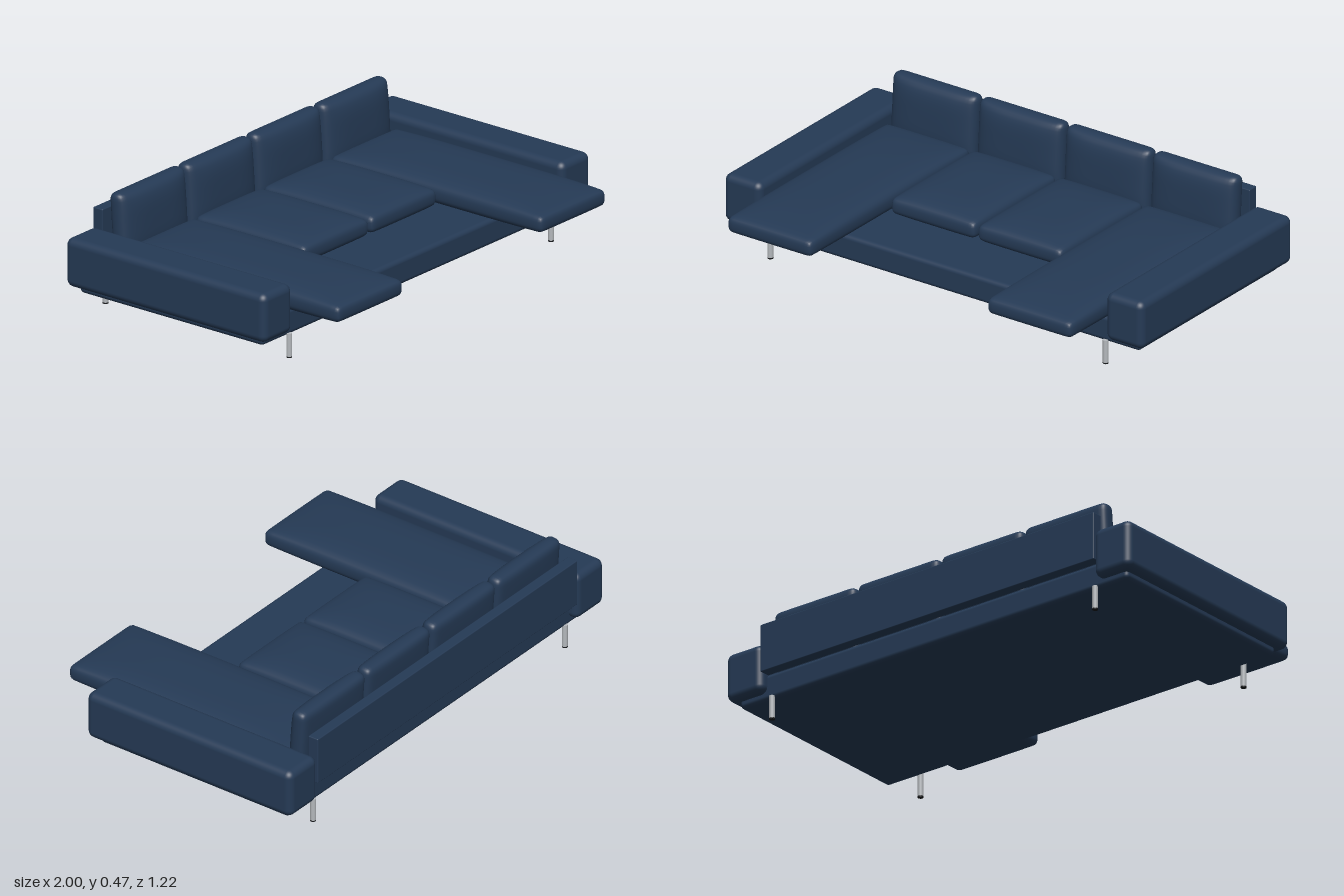
import * as THREE from 'three';
import { RoundedBoxGeometry } from 'three/addons/geometries/RoundedBoxGeometry.js';
import { mergeVertices } from 'three/addons/utils/BufferGeometryUtils.js';

const fabric = new THREE.MeshStandardMaterial({ name: 'navy fabric', color: 0x253a55 });
const steel = new THREE.MeshStandardMaterial({ name: 'brushed steel', color: 0xb4b8bc });
const rubber = new THREE.MeshStandardMaterial({ name: 'black rubber', color: 0x15171a });

// Rounded cushion lying flat, thin at its rim and swelling toward the middle
function cushionGeometry(w, h, d, r, puffTop, puffBottom) {
  let geo = new THREE.BoxGeometry(2, 2, 2, 20, 10, 20);
  geo.deleteAttribute('uv');
  geo.deleteAttribute('normal');
  geo = mergeVertices(geo);
  const pos = geo.attributes.position;
  const half = new THREE.Vector3(w / 2, h / 2, d / 2);
  const inner = half.clone().subScalar(r);
  const p = new THREE.Vector3();
  const core = new THREE.Vector3();
  // crowd the grid lines toward the edges
  const ease = (u) => Math.sign(u) * (1 - (1 - Math.abs(u)) ** 2);
  for (let i = 0; i < pos.count; i++) {
    p.fromBufferAttribute(pos, i);
    p.set(ease(p.x), ease(p.y), ease(p.z)).multiply(half);
    core.copy(p).clamp(inner.clone().negate(), inner);
    p.sub(core).setLength(r).add(core);
    const swell = (1 - (p.x / half.x) ** 4) * (1 - (p.z / half.z) ** 4);
    p.y += (p.y / half.y) * swell * (p.y > 0 ? puffTop : puffBottom);
    pos.setXYZ(i, p.x, p.y, p.z);
  }
  geo.computeVertexNormals();
  return geo;
}

export function createModel() {
  const sofa = new THREE.Group();
  sofa.name = 'sofa';

  const add = (name, geo, mat, x, y, z) => {
    const mesh = new THREE.Mesh(geo, mat);
    mesh.name = name;
    mesh.position.set(x, y, z);
    sofa.add(mesh);
    return mesh;
  };
  // Rounded box given by its limits on each axis
  const block = (name, [x0, x1], [y0, y1], [z0, z1], r) =>
    add(name, new RoundedBoxGeometry(x1 - x0, y1 - y0, z1 - z0, 4, r), fabric,
      (x0 + x1) / 2, (y0 + y1) / 2, (z0 + z1) / 2);

  // Platform and back panel
  block('base', [-0.96, 0.96], [0.09, 0.197], [-0.57, 0.345], 0.018);
  block('backPanel', [-0.825, 0.825], [0.195, 0.395], [-0.61, -0.563], 0.004);

  const seatGeo = cushionGeometry(0.404, 0.068, 0.55, 0.025, 0.024, 0.015);
  const chaiseGeo = cushionGeometry(0.404, 0.068, 1.055, 0.025, 0.024, 0.015);
  // Back pillows stand upright and lean back a little
  const pillowGeo = cushionGeometry(0.404, 0.275, 0.06, 0.028, 0, 0);
  pillowGeo.dispose();
  const uprightGeo = cushionGeometry(0.404, 0.064, 0.278, 0.028, 0.026, 0.006);
  uprightGeo.rotateX(Math.PI / 2 - 0.07);

  for (const s of [-1, 1]) {
    const side = s > 0 ? 'left' : 'right';

    // Armrest
    const armX = s > 0 ? [0.822, 1] : [-1, -0.822];
    block(side + 'Armrest', armX, [0.118, 0.32], [-0.61, 0.385], 0.03);

    // Seats: short one in the middle, long one beside the arm
    add(side + 'SeatCushion', seatGeo, fabric, s * 0.207, 0.238, -0.172);
    add(side + 'ChaiseCushion', chaiseGeo, fabric, s * 0.62, 0.238, 0.081);
    add(side + 'InnerPillow', uprightGeo, fabric, s * 0.207, 0.335, -0.499);
    add(side + 'OuterPillow', uprightGeo, fabric, s * 0.62, 0.335, -0.499);

    // Legs with dark glides
    for (const [end, z] of [['Front', 0.347], ['Back', -0.568]]) {
      add(side + end + 'Leg', new THREE.CylinderGeometry(0.0115, 0.0115, 0.095, 20), steel,
        s * 0.8, 0.0525, z);
      add(side + end + 'Glide', new THREE.CylinderGeometry(0.0115, 0.0115, 0.005, 20), rubber,
        s * 0.8, 0.0025, z);
    }
  }
  return sofa;
}
